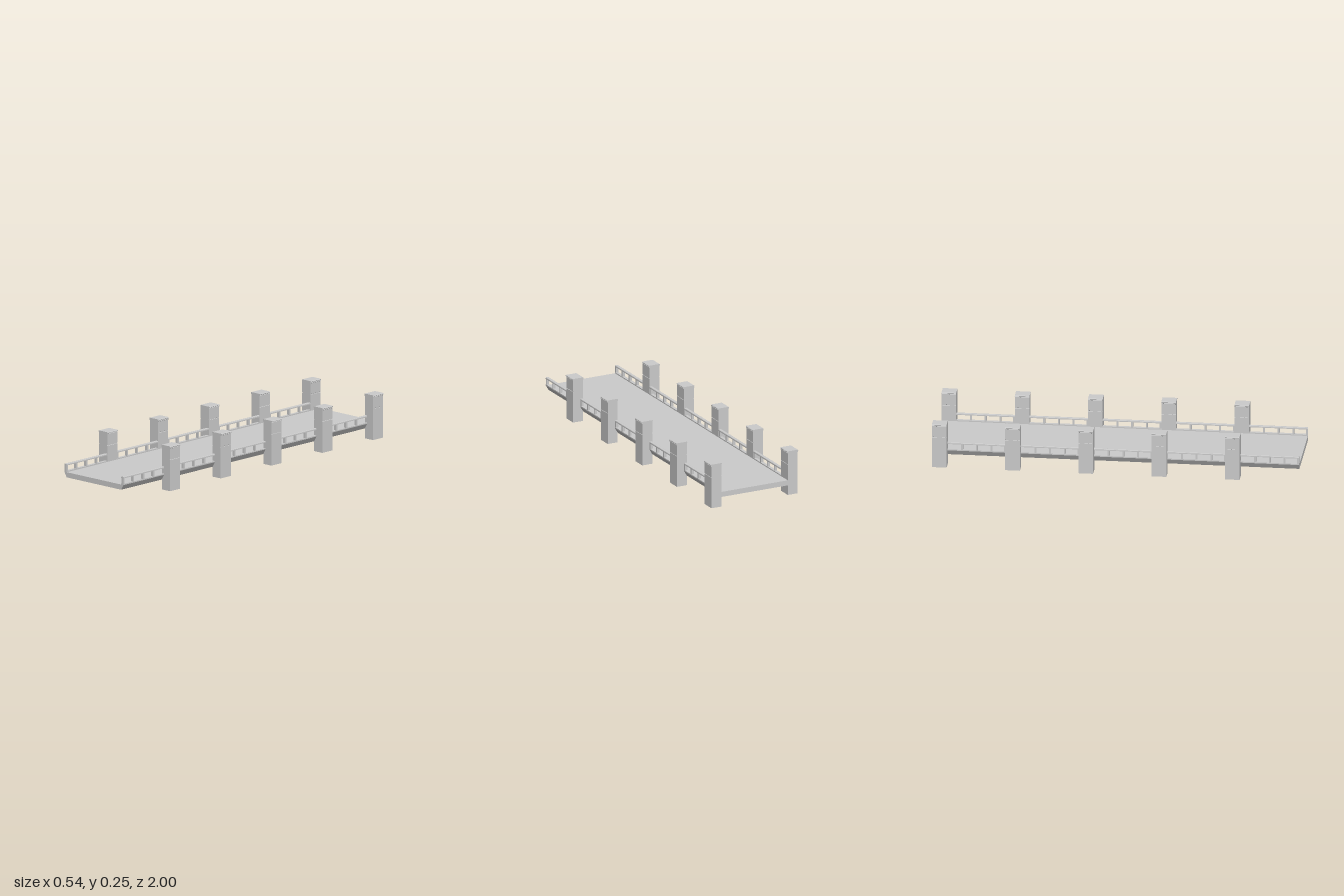
import * as THREE from 'three';

const material = new THREE.MeshStandardMaterial({ color: 0xcccccc });

// Extrudes an x/y outline along z, from z0 to z1.
function extrudeZ(name, points, z0, z1) {
  const shape = new THREE.Shape(points.map(([x, y]) => new THREE.Vector2(x, y)));
  const geometry = new THREE.ExtrudeGeometry(shape, { depth: z1 - z0, bevelEnabled: false });
  geometry.translate(0, 0, z0);
  const mesh = new THREE.Mesh(geometry, material);
  mesh.name = name;
  return mesh;
}

// Post outline: shaft with a narrow groove and a two-tier rounded cap.
const halfPost = [
  [0.0305, 0], [0.0305, 0.174], [0.0285, 0.175], [0.0285, 0.177], [0.0305, 0.178],
  [0.0305, 0.237], [0.0325, 0.238], [0.0325, 0.241], [0.0305, 0.2425],
  [0.033, 0.2435], [0.034, 0.2455], [0.0335, 0.248], [0.031, 0.25],
];
const postOutline = [...halfPost, ...halfPost.slice().reverse().map(([x, y]) => [-x, y])];

// Railing outlines, drawn for the left side.
const curb = [[0.204, 0.055], [0.2215, 0.084], [0.2215, 0.09], [0.204, 0.09]];
const handrail = [
  [0.204, 0.121], [0.2215, 0.121], [0.2215, 0.126], [0.2205, 0.129],
  [0.218, 0.13], [0.2075, 0.13], [0.205, 0.129], [0.204, 0.126],
];
const baluster = [[0.2055, 0.088], [0.2205, 0.088], [0.2205, 0.123], [0.2055, 0.123]];

export function createModel() {
  const model = new THREE.Group();
  model.name = 'bridge';

  // Deck slab
  model.add(extrudeZ('deck', [[-0.204, 0.055], [0.204, 0.055], [0.204, 0.084], [-0.204, 0.084]], -1, 1));

  for (const side of [-1, 1]) {
    const mirrored = (points) => points.map(([x, y]) => [x * side, y]);
    const label = side > 0 ? 'left' : 'right';

    const railing = new THREE.Group();
    railing.name = label + 'Railing';
    railing.add(extrudeZ('curb', mirrored(curb), -1, 1));
    railing.add(extrudeZ('handrail', mirrored(handrail), -1, 1));
    model.add(railing);

    // Five bays, each ending at a post
    for (let bay = 0; bay < 5; bay++) {
      const z = 0.64 - bay * 0.4;
      const post = extrudeZ(label + 'Post', postOutline, -0.04, 0.04);
      post.position.set(side * 0.2345, 0, z);
      model.add(post);

      // Balusters divide each bay into four openings
      for (let i = 1; i <= 4; i++) {
        const bz = z + 0.04 + i * 0.08;
        const end = i === 4 ? -0.005 : 0;
        railing.add(extrudeZ('baluster', mirrored(baluster), bz - 0.005 + end, bz + 0.005 + end));
      }
    }
  }
  return model;
}
